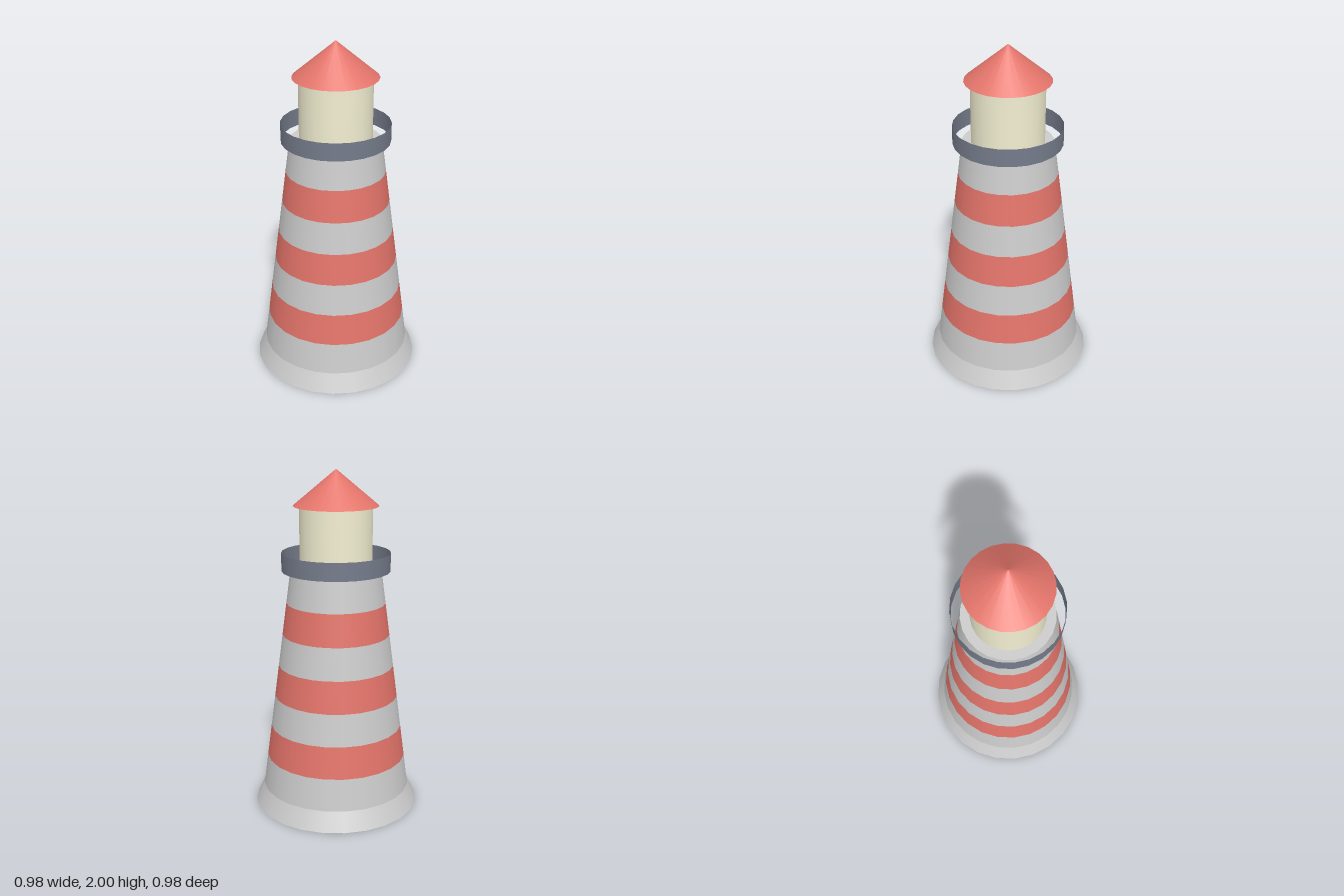
import * as THREE from 'three';

const SIDES = 24;
const grey = new THREE.MeshStandardMaterial({ color: 0xcccccc });
const red = new THREE.MeshStandardMaterial({ color: 0xe3746a });
const cream = new THREE.MeshStandardMaterial({ color: 0xf3efd2 });
const slate = new THREE.MeshStandardMaterial({ color: 0x747b8a, side: THREE.DoubleSide });

// Upright tapered drum between two heights
function drum(name, rBottom, rTop, y0, y1, material, open = false) {
  const geometry = new THREE.CylinderGeometry(rTop, rBottom, y1 - y0, SIDES, 1, open);
  const mesh = new THREE.Mesh(geometry, material);
  mesh.name = name;
  mesh.position.y = (y0 + y1) / 2;
  return mesh;
}

// Flat disc facing up (1) or down (-1)
function disc(name, radius, y, facing) {
  const mesh = new THREE.Mesh(new THREE.CircleGeometry(radius, SIDES), grey);
  mesh.name = name;
  mesh.rotation.x = -facing * Math.PI / 2;
  mesh.position.y = y;
  return mesh;
}

export function createModel() {
  const model = new THREE.Group();
  model.name = 'lighthouse';

  // Flared foot with a closed underside
  model.add(drum('foot', 0.49, 0.44, 0, 0.11, grey, true));
  model.add(disc('footUnderside', 0.49, 0, -1));

  // Tapering tower of alternating grey and red bands
  const tower = new THREE.Group();
  tower.name = 'tower';
  const bands = 7, bottom = 0.11, top = 1.425;
  const heightAt = (i) => THREE.MathUtils.lerp(bottom, top, i / bands);
  const radiusAt = (i) => THREE.MathUtils.lerp(0.44, 0.265, i / bands);
  for (let i = 0; i < bands; i++) {
    const isRed = i % 2 === 1;
    tower.add(drum(isRed ? 'redBand' : 'greyBand', radiusAt(i), radiusAt(i + 1),
      heightAt(i), heightAt(i + 1), isRed ? red : grey, true));
  }
  tower.add(disc('deck', 0.265, top, 1));
  model.add(tower);

  // Thin open gallery railing around the deck
  model.add(drum('galleryRail', 0.315, 0.315, 1.425, 1.53, slate, true));

  // Lantern room and conical roof
  model.add(drum('lanternRoom', 0.21, 0.21, top, 1.795, cream));
  const roof = new THREE.Mesh(new THREE.ConeGeometry(0.245, 0.205, SIDES), red);
  roof.name = 'roof';
  roof.position.y = 1.8975;
  model.add(roof);

  return model;
}
